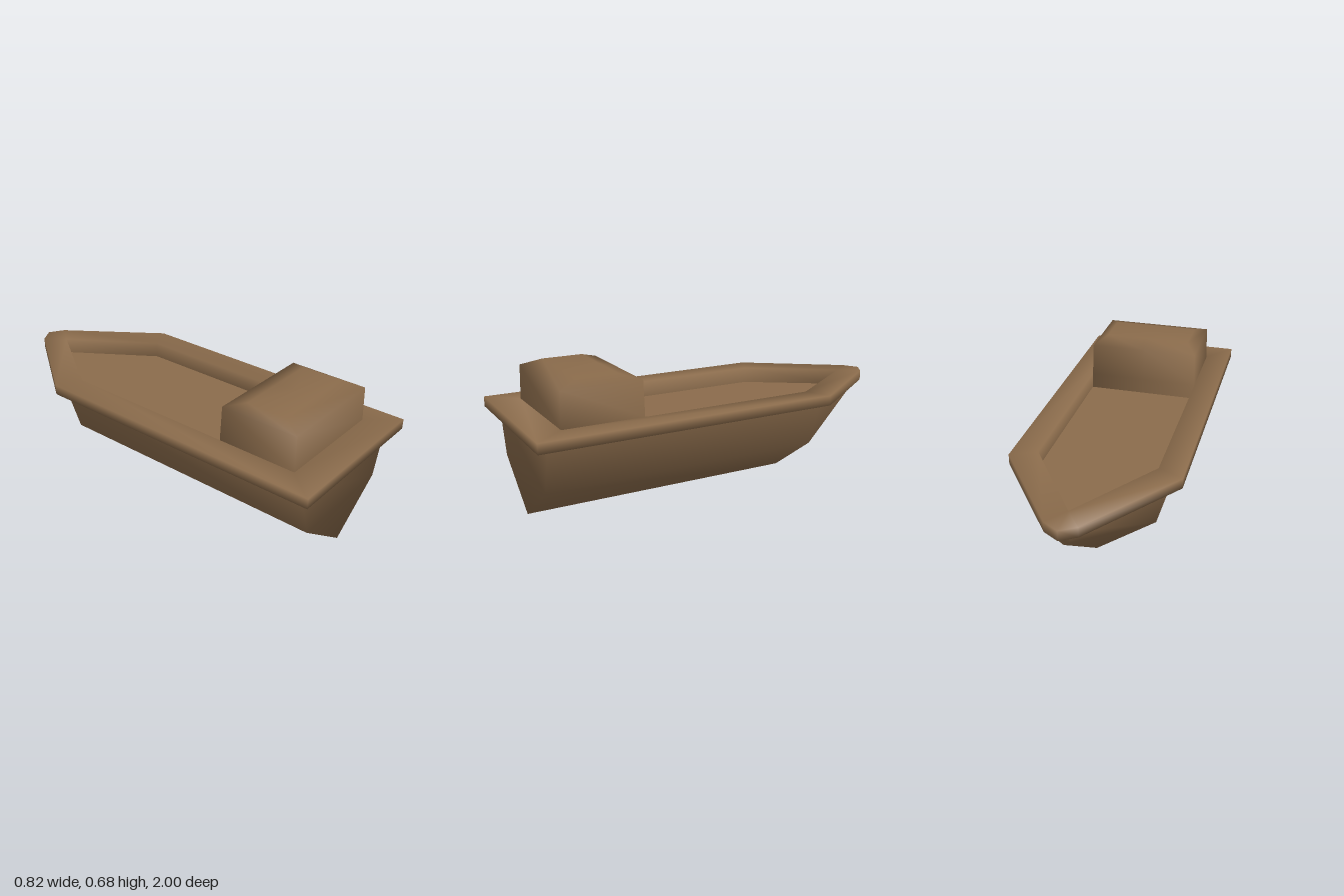
import * as THREE from 'three';
import { mergeVertices } from 'three/addons/utils/BufferGeometryUtils.js';

const wood = new THREE.MeshStandardMaterial({ color: 0x8a6b4b });
wood.name = 'brown wood';

// Each ring lists [x, y, z] from the centreline at the bow along +x to the stern;
// the -x half is mirrored to close the loop. Rings run from low/outside upward.
function loft(rings) {
  const loops = rings.map(r => [...r, ...r.slice(1).reverse().map(([x, y, z]) => [-x, y, z])]);
  const n = loops[0].length;
  const pos = [];
  for (let k = 0; k < loops.length - 1; k++) {
    for (let i = 0; i < n; i++) {
      const j = (i + 1) % n;
      const a = loops[k][i], b = loops[k + 1][i], c = loops[k + 1][j], d = loops[k][j];
      pos.push(...a, ...b, ...c, ...a, ...c, ...d);
    }
  }
  const raw = new THREE.BufferGeometry();
  raw.setAttribute('position', new THREE.Float32BufferAttribute(pos, 3));
  const geo = mergeVertices(raw, 1e-4);
  geo.computeVertexNormals();
  return geo;
}

const at = (y, outline) => outline.map(([x, z]) => [x, y, z]);

export function createModel() {
  const boat = new THREE.Group();
  boat.name = 'boat';
  const add = (name, geo) => {
    const m = new THREE.Mesh(geo, wood);
    m.name = name;
    boat.add(m);
    return m;
  };

  const sheer = [[0, -0.975], [0.055, -0.925], [0.355, -0.47], [0.355, 0.94]];
  const outer = [[0, -1], [0.075, -0.955], [0.41, -0.49], [0.41, 1]];
  const inner = [[0, -0.855], [0, -0.855], [0.287, -0.43], [0.287, 0.85]];

  // Hull: keel, chine and sheer lines, including the flat transom
  add('hull', loft([
    [[0, 0.36, -0.93], [0, 0.36, -0.93], [0, 0, -0.46], [0, 0, 0.94]],
    [[0, 0.37, -0.935], [0.02, 0.37, -0.925], [0.288, 0.205, -0.46], [0.288, 0.205, 0.94]],
    at(0.43, sheer),
  ]));

  // Gunwale: underside, outer edge, top and inner wall down to the deck
  add('gunwale', loft([
    at(0.43, sheer), at(0.43, outer), at(0.48, outer), at(0.48, inner), at(0.4, inner),
  ]));

  // Sunken deck
  const deck = new THREE.Shape([
    [0, 0.855], [-0.287, 0.43], [-0.287, -0.85], [0.287, -0.85], [0.287, 0.43],
  ].map(([x, y]) => new THREE.Vector2(x, y)));
  const deckGeo = new THREE.ShapeGeometry(deck);
  deckGeo.rotateX(-Math.PI / 2);
  add('deck', deckGeo).position.y = 0.4;

  // Cabin with tapered walls and chamfered roof
  const box = (y, x, z0, z1) => at(y, [[0, z0], [x, z0], [x, z1]]);
  add('cabin', loft([
    box(0.4, 0.287, 0.455, 0.855),
    box(0.48, 0.285, 0.456, 0.854),
    box(0.65, 0.28, 0.46, 0.85),
    box(0.68, 0.223, 0.555, 0.755),
    box(0.68, 0, 0.655, 0.655),
  ]));

  return boat;
}
